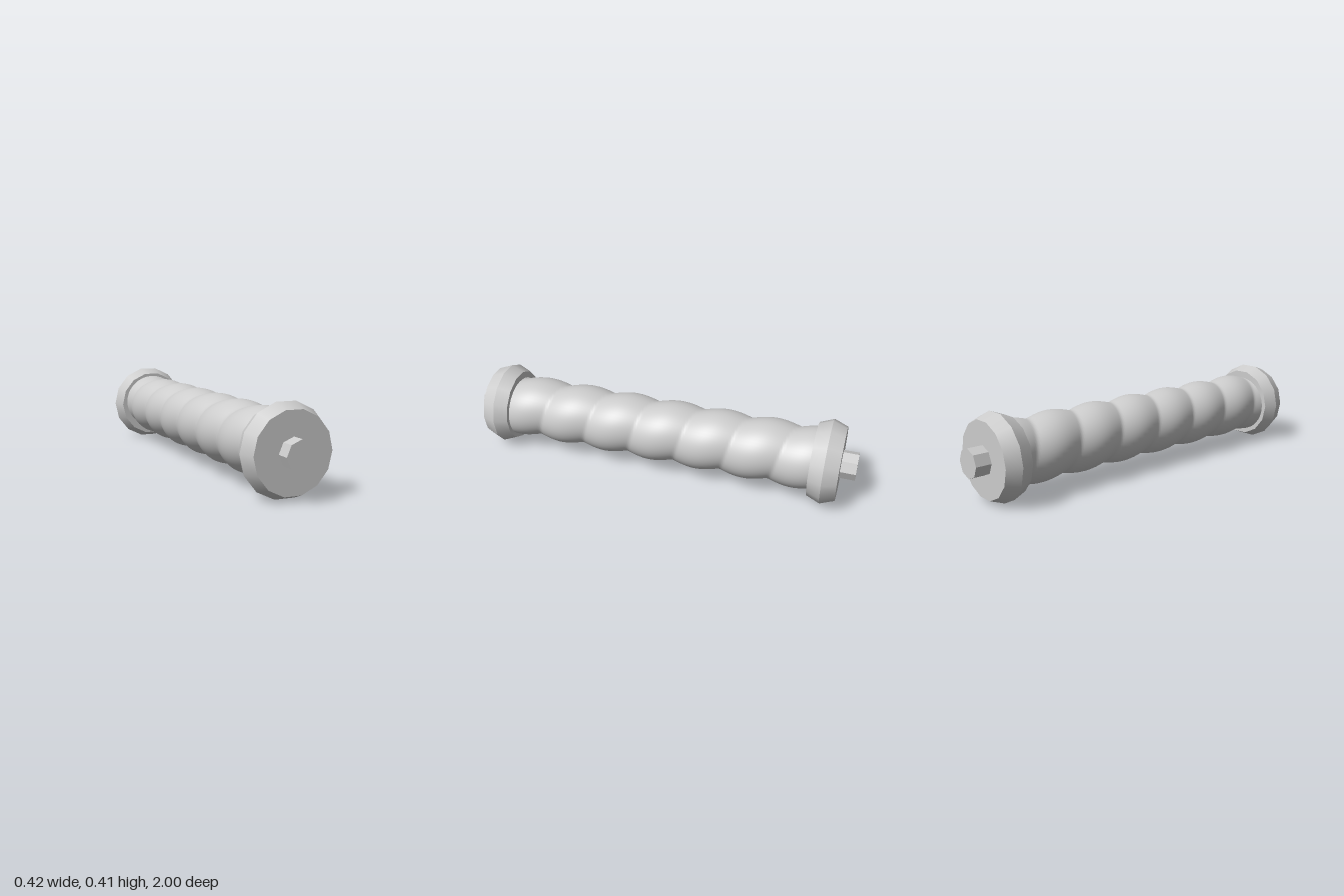
import * as THREE from 'three';

const CENTER_Y = 0.206;
const SIDES = 14;

// Cylinder section along z, from z0 (radius r0) to z1 (radius r1), with a corner on the x axis
function section(r0, r1, z0, z1, sides, open) {
  const g = new THREE.CylinderGeometry(r1, r0, z1 - z0, sides, 1, open, Math.PI / 2);
  return g.rotateX(Math.PI / 2).translate(0, 0, (z0 + z1) / 2);
}

// Grip: a tube whose radius is cut by a single spiral groove
function gripGeometry(z0, z1) {
  const around = 56, along = 180, pitch = 0.247;
  const g = new THREE.CylinderGeometry(1, 1, 1, around, along, true);
  g.rotateX(Math.PI / 2);
  const p = g.attributes.position;
  for (let i = 0; i < p.count; i++) {
    const a = Math.atan2(p.getY(i), p.getX(i));
    const z = z0 + (p.getZ(i) + 0.5) * (z1 - z0);
    const turn = (z - pitch / 2) / pitch + a / (2 * Math.PI);
    const r = 0.144 + 0.023 * Math.abs(Math.sin(Math.PI * turn));
    p.setXYZ(i, r * Math.cos(a), r * 0.97 * Math.sin(a) + 0.004, z);
  }
  g.computeVertexNormals();
  // Match normals across the seam
  const n = g.attributes.normal, v = new THREE.Vector3();
  for (let j = 0; j <= along; j++) {
    const s = j * (around + 1), e = s + around;
    v.set(n.getX(s) + n.getX(e), n.getY(s) + n.getY(e), n.getZ(s) + n.getZ(e)).normalize();
    n.setXYZ(s, v.x, v.y, v.z);
    n.setXYZ(e, v.x, v.y, v.z);
  }
  return g;
}

export function createModel() {
  const model = new THREE.Group();
  model.name = 'spiralGripHandle';
  const grey = new THREE.MeshStandardMaterial({ color: 0xcccccc });
  grey.name = 'light grey';

  const add = (parent, name, geometry) => {
    const mesh = new THREE.Mesh(geometry, grey);
    mesh.name = name;
    parent.add(mesh);
  };

  add(model, 'spiralGrip', gripGeometry(-0.8, 0.81));

  // End caps: two bevelled rings, flat faces and an octagonal peg
  const ends = [
    { name: 'frontCap', z: [0.797, 0.863, 0.934], peg: [0.934, 1] },
    { name: 'backCap', z: [-0.924, -0.854, -0.786], peg: [-1, -0.924] },
  ];
  for (const { name, z, peg } of ends) {
    const cap = new THREE.Group();
    cap.name = name;
    add(cap, 'rearBevel', section(0.184, 0.211, z[0], z[1], SIDES, true));
    add(cap, 'frontBevel', section(0.211, 0.184, z[1], z[2], SIDES, true));

    const frontFace = new THREE.CircleGeometry(0.184, SIDES).translate(0, 0, z[2]);
    const rearFace = new THREE.CircleGeometry(0.184, SIDES).rotateY(Math.PI).translate(0, 0, z[0]);
    add(cap, 'frontFace', frontFace);
    add(cap, 'rearFace', rearFace);

    const pegGeometry = section(0.07, 0.07, peg[0], peg[1], 8, false).toNonIndexed();
    pegGeometry.computeVertexNormals();
    add(cap, 'peg', pegGeometry);
    model.add(cap);
  }

  model.position.y = CENTER_Y;
  return model;
}
